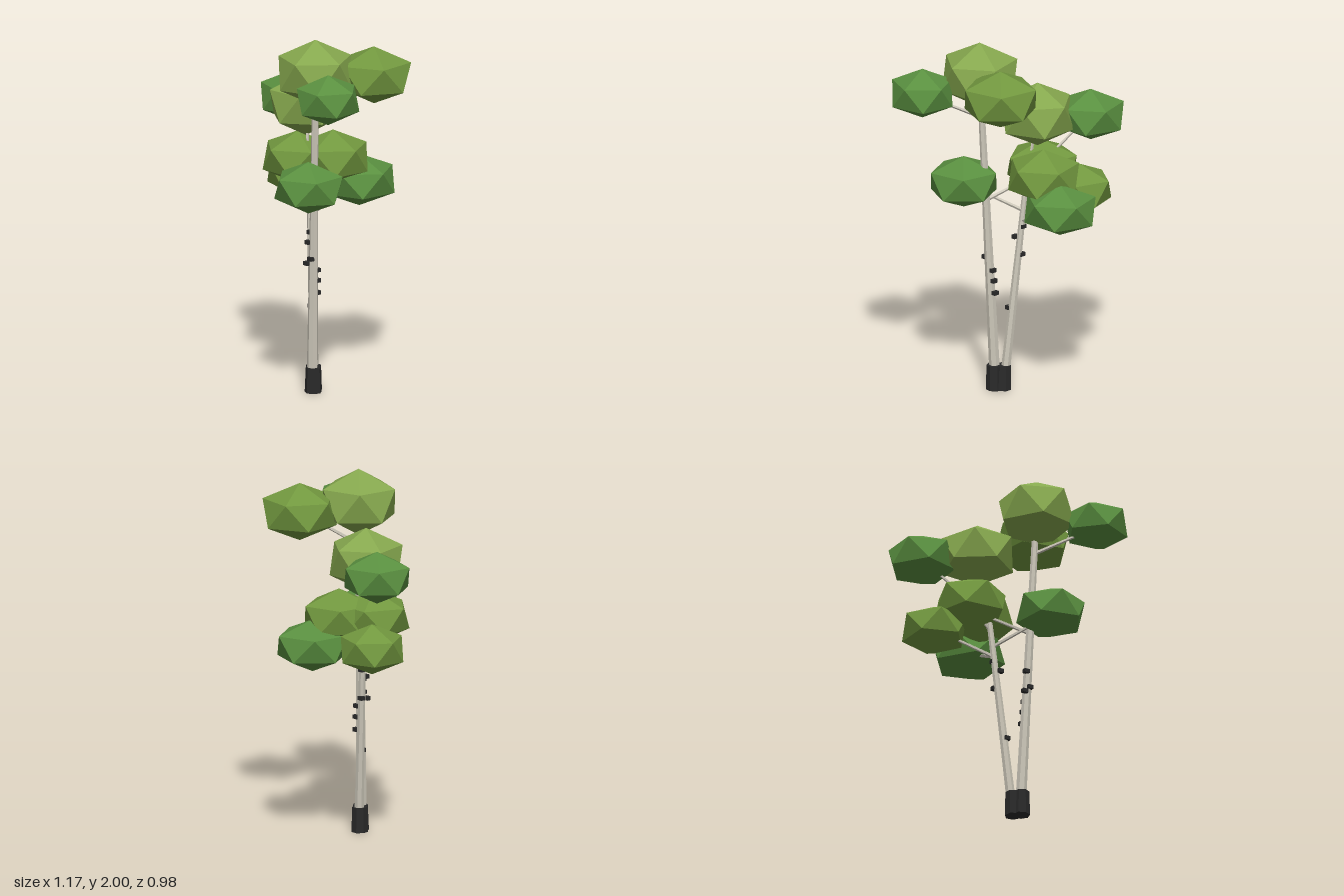
import * as THREE from 'three';

const V = (p) => new THREE.Vector3(...p);
const mat = (color) => new THREE.MeshStandardMaterial({ color, flatShading: true });

export function createModel() {
  const tree = new THREE.Group();
  tree.name = 'birchTree';
  const bark = mat(0xcdc8ba);
  const dark = mat(0x2a2a2a);
  const light = mat(0x86a84e);
  const mid = mat(0x72983f);
  const deep = mat(0x5a9040);

  const add = (name, geometry, material) => {
    const mesh = new THREE.Mesh(geometry, material);
    mesh.name = name;
    tree.add(mesh);
    return mesh;
  };

  // Tapered limb between two points
  const limb = (name, from, to, r0, r1, sides = 6, material = bark) => {
    const a = V(from), b = V(to);
    const dir = b.clone().sub(a);
    const mesh = add(name, new THREE.CylinderGeometry(r1, r0, dir.length(), sides), material);
    mesh.position.copy(a).add(b).multiplyScalar(0.5);
    mesh.quaternion.setFromUnitVectors(new THREE.Vector3(0, 1, 0), dir.normalize());
    return mesh;
  };

  // Trunks
  const main = [[0.06, 0.02, 0.115], [0.13, 1.66, 0.155]];
  const second = [[0.035, 0.02, 0.075], [-0.075, 1.16, 0.015]];
  limb('mainTrunk', ...main, 0.031, 0.018, 7);
  limb('secondTrunk', ...second, 0.027, 0.016, 7);

  // Dark feet of the trunks
  limb('mainTrunkFoot', [0.068, 0, 0.115], [0.07, 0.14, 0.115], 0.047, 0.042, 7, dark);
  limb('secondTrunkFoot', [0.035, 0, 0.082], [0.033, 0.14, 0.08], 0.047, 0.042, 7, dark);

  // Branches: start, end
  [
    [[0.128, 1.6, 0.155], [0.135, 1.8, 0.16]],
    [[0.127, 1.57, 0.154], [0.4, 1.72, 0.31]],
    [[0.127, 1.58, 0.154], [0.26, 1.76, -0.11]],
    [[-0.074, 1.14, 0.016], [-0.13, 1.54, -0.01]],
    [[-0.08, 1.2, 0.012], [-0.38, 1.52, -0.15]],
    [[-0.072, 1.12, 0.018], [-0.17, 1.23, 0]],
    [[-0.072, 1.12, 0.018], [-0.05, 1.23, -0.12]],
    [[-0.06, 1.02, 0.022], [0.16, 1.17, 0.23]],
    [[-0.055, 0.96, 0.025], [-0.31, 1.11, -0.12]],
    [[-0.055, 0.96, 0.025], [-0.02, 1.1, -0.28]],
    [[0.108, 1.09, 0.141], [-0.17, 1.22, 0]],
  ].forEach(([a, b]) => limb('branch', a, b, 0.011, 0.007, 5));

  // Bark knots: x, y, z
  [
    [0.073, 0.85, 0.158], [0.096, 0.76, 0.158], [0.064, 0.73, 0.158],
    [0.09, 0.69, 0.105], [0.086, 0.63, 0.1], [0.082, 0.56, 0.095],
    [-0.028, 0.87, 0.052], [-0.055, 0.93, 0.02], [-0.05, 0.77, 0.022], [0.002, 0.465, 0.072],
  ].forEach((p) => add('barkKnot', new THREE.BoxGeometry(0.032, 0.022, 0.024), dark).position.set(...p));

  // Leaf clumps: centre, half width, half height, turn in degrees, material
  [
    [[0.137, 1.815, 0.16], 0.207, 0.185, 2, light],
    [[0.42, 1.74, 0.32], 0.171, 0.14, -10, deep],
    [[0.28, 1.78, -0.14], 0.203, 0.16, 26, mid],
    [[-0.135, 1.565, -0.015], 0.2, 0.18, -20, light],
    [[-0.4, 1.535, -0.16], 0.183, 0.145, 0, deep],
    [[-0.185, 1.255, 0], 0.193, 0.15, 20, mid],
    [[-0.335, 1.12, -0.14], 0.175, 0.14, 35, mid],
    [[-0.02, 1.11, -0.3], 0.197, 0.145, 0, deep],
    [[-0.055, 1.255, -0.14], 0.195, 0.155, 2, mid],
    [[0.175, 1.19, 0.245], 0.187, 0.145, 28, deep],
  ].forEach(([p, w, h, turn, material]) => {
    const geometry = new THREE.IcosahedronGeometry(1, 0);
    geometry.rotateZ(-Math.atan(2 / (1 + Math.sqrt(5)))); // one corner straight up
    geometry.rotateY(-THREE.MathUtils.degToRad(turn));
    geometry.scale(w / 0.894, h, w / 0.894);
    add('leafClump', geometry, material).position.set(...p);
  });

  return tree;
}
